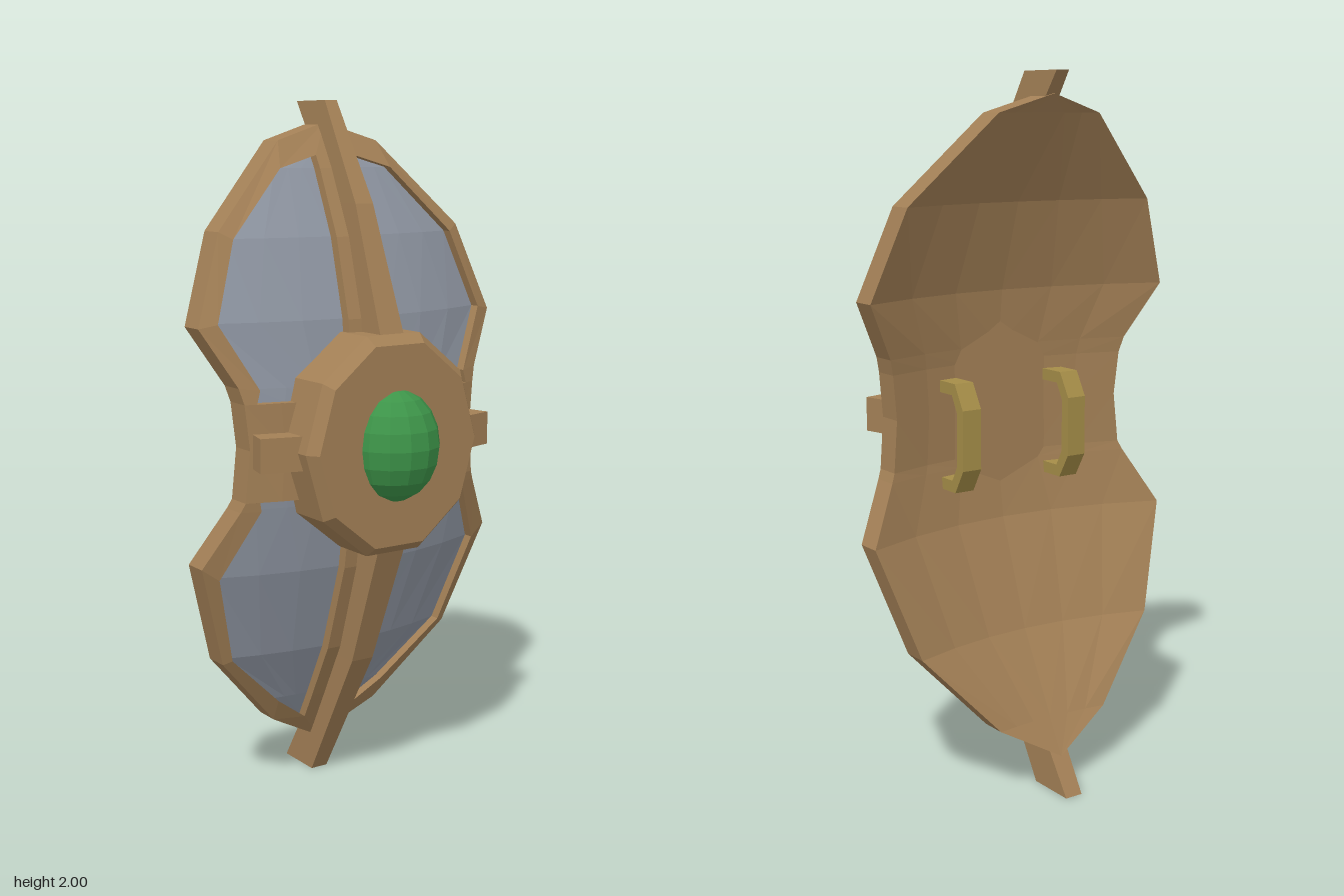
import * as THREE from 'three';

const mat = (name, color, extra = {}) =>
  Object.assign(new THREE.MeshStandardMaterial({ color, flatShading: true, ...extra }), { name });

// Bowed face of the shield: height profile down the middle, falling away sideways
const PROFILE = [[1.94, -0.14], [1.7, 0.01], [1.4, 0.105], [1.2, 0.127], [0.926, 0.127], [0.74, 0.1], [0.43, -0.01], [0.1, -0.19]];
function faceZ(x, y) {
  let i = 0;
  while (i < PROFILE.length - 2 && y < PROFILE[i + 1][0]) i++;
  const [y0, z0] = PROFILE[i], [y1, z1] = PROFILE[i + 1];
  return z0 + (z1 - z0) * (y - y0) / (y1 - y0) - 0.45 * x * x;
}

// Sheet between two edges A and B, at given depths from the face, made for both sides
function sheet(out, A, B, n, offA = 0, offB = offA, back = false) {
  const at = (i, j, s) => {
    const t = j / n, x = A[i][0] + (B[i][0] - A[i][0]) * t, y = A[i][1] + (B[i][1] - A[i][1]) * t;
    return [s * x, y, faceZ(x, y) + offA + (offB - offA) * t];
  };
  for (const s of [1, -1]) for (let i = 0; i < A.length - 1; i++) for (let j = 0; j < n; j++) {
    const a = at(i, j, s), b = at(i, j + 1, s), c = at(i + 1, j, s), d = at(i + 1, j + 1, s);
    const tris = (s < 0) !== back ? [a, b, c, b, d, c] : [a, c, b, b, c, d];
    for (const p of tris) out.push(...p);
  }
}

function toGeometry(positions) {
  const g = new THREE.BufferGeometry();
  g.setAttribute('position', new THREE.Float32BufferAttribute(positions, 3));
  g.computeVertexNormals();
  return g;
}

// Tapered bar from rows of [y, frontZ, backZ, halfWidth]
function ribGeometry(rows) {
  const pos = [];
  const rings = rows.map(([y, f, b, w]) => [[w, y, f], [-w, y, f], [-w, y, b], [w, y, b]]);
  const quad = (a, b, c, d) => { for (const p of [a, b, c, a, c, d]) pos.push(...p); };
  for (let i = 0; i < rings.length - 1; i++) for (let k = 0; k < 4; k++) {
    const m = (k + 1) % 4;
    quad(rings[i][k], rings[i][m], rings[i + 1][m], rings[i + 1][k]);
  }
  const last = rings[rings.length - 1];
  quad(rings[0][3], rings[0][2], rings[0][1], rings[0][0]);
  quad(last[0], last[1], last[2], last[3]);
  return toGeometry(pos);
}

export function createModel() {
  const group = new THREE.Group();
  const wood = mat('brown frame', 0xa38056, { side: THREE.DoubleSide });
  const steel = mat('grey panel', 0x8e95a1);
  const green = mat('green gem', 0x3d9449);
  const brass = mat('brass handle', 0xa58d48);
  const add = (name, geometry, material) => {
    const m = new THREE.Mesh(geometry, material);
    m.name = name;
    group.add(m);
    return m;
  };

  // Outer rim, inner rim and rib-side edges of each half, listed downwards
  const halves = [
    {
      outer: [[0, 1.94], [0.165, 1.89], [0.4, 1.65], [0.49, 1.4], [0.4, 1.24], [0.388, 1.196]],
      inner: [[0.063, 1.85], [0.185, 1.815], [0.365, 1.63], [0.44, 1.41], [0.345, 1.233], [0.355, 1.196]],
      edge: [[0.063, 1.85], [0.064, 1.815], [0.071, 1.63], [0.079, 1.41], [0.084, 1.233], [0.085, 1.196]],
    },
    {
      outer: [[0.388, 0.926], [0.4, 0.9], [0.49, 0.74], [0.39, 0.43], [0.18, 0.2], [0, 0.1]],
      inner: [[0.35, 0.926], [0.345, 0.9], [0.44, 0.704], [0.365, 0.44], [0.185, 0.27], [0.075, 0.19]],
      edge: [[0.085, 0.926], [0.085, 0.9], [0.083, 0.704], [0.079, 0.44], [0.076, 0.27], [0.075, 0.19]],
    },
  ];
  const RECESS = -0.03, BACK = -0.075;
  const axis = (pts) => pts.map(([, y]) => [0, y]);
  const frame = [], panels = [], shell = [];

  // Frame: rim, middle strip and the walls down to the recessed panels
  halves.forEach(({ outer, inner, edge }, h) => {
    sheet(frame, inner, outer, 1);
    const strip = h === 0 ? [[0, 1.94], ...edge] : [...edge, [0, 0.1]];
    sheet(frame, axis(strip), strip, 1);
    const loop = [...inner, ...[...edge].reverse(), inner[0]];
    sheet(frame, loop, loop, 1, RECESS, 0);
    sheet(panels, edge, inner, 3, RECESS);
  });
  const waist = [[0.388, 1.196], [0.375, 1.07], [0.388, 0.926]];
  sheet(frame, axis(waist), waist, 4);

  // Back of the shield and its outer edge
  const outline = [...halves[0].outer, waist[1], ...halves[1].outer];
  sheet(shell, axis(outline), outline, 3, BACK, BACK, true);
  sheet(frame, outline, outline, 1, 0, BACK);
  add('frame', toGeometry(frame), wood);
  add('panels', toGeometry(panels), steel);
  add('backShell', toGeometry(shell), wood);

  // Ribs running from the hub to the two tips
  add('upperRib', ribGeometry([[2, -0.105, -0.25, 0.02], [1.72, 0.06, -0.06, 0.029], [1.36, 0.198, 0.06, 0.039]]), wood);
  add('lowerRib', ribGeometry([[0.78, 0.198, 0.06, 0.045], [0.41, 0.053, -0.06, 0.036], [0, -0.18, -0.325, 0.027]]), wood);

  // Ten-sided hub with a bevelled front
  const hub = new THREE.LatheGeometry(
    [[0, 0.04], [1, 0.04], [1, 0.2], [0.915, 0.232], [0, 0.232]].map(([r, z]) => new THREE.Vector2(r, z)), 10);
  hub.rotateY(Math.PI / 2).rotateX(Math.PI / 2).scale(0.285, 0.32, 1).translate(0, 1.07, 0);
  add('hub', hub, wood);

  // Gem
  const gem = new THREE.SphereGeometry(1, 14, 10).scale(0.133, 0.16, 0.133).translate(0, 1.07, 0.197);
  add('gem', gem, green);

  // Side arms and the grips behind them
  const grip = new THREE.Shape([
    [0.06, 1.16], [-0.045, 1.16], [-0.085, 1.09], [-0.085, 0.92], [-0.045, 0.852], [0.06, 0.852],
    [0.06, 0.885], [-0.03, 0.885], [-0.055, 0.93], [-0.055, 1.08], [-0.03, 1.127], [0.06, 1.127],
  ].map(([z, y]) => new THREE.Vector2(z, y)));
  const gripGeometry = new THREE.ExtrudeGeometry(grip, { depth: 0.06, bevelEnabled: false });
  gripGeometry.translate(0, 0, -0.03).rotateY(-Math.PI / 2);
  for (const s of [1, -1]) {
    const side = s > 0 ? 'left' : 'right';
    const arm = add(side + 'Arm', new THREE.BoxGeometry(0.2, 0.095, 0.07), wood);
    arm.position.set(s * 0.28, 1.068, 0.126);
    arm.rotation.y = s * 0.25;
    add(side + 'Handle', gripGeometry, brass).position.x = s * 0.18;
  }
  return group;
}
